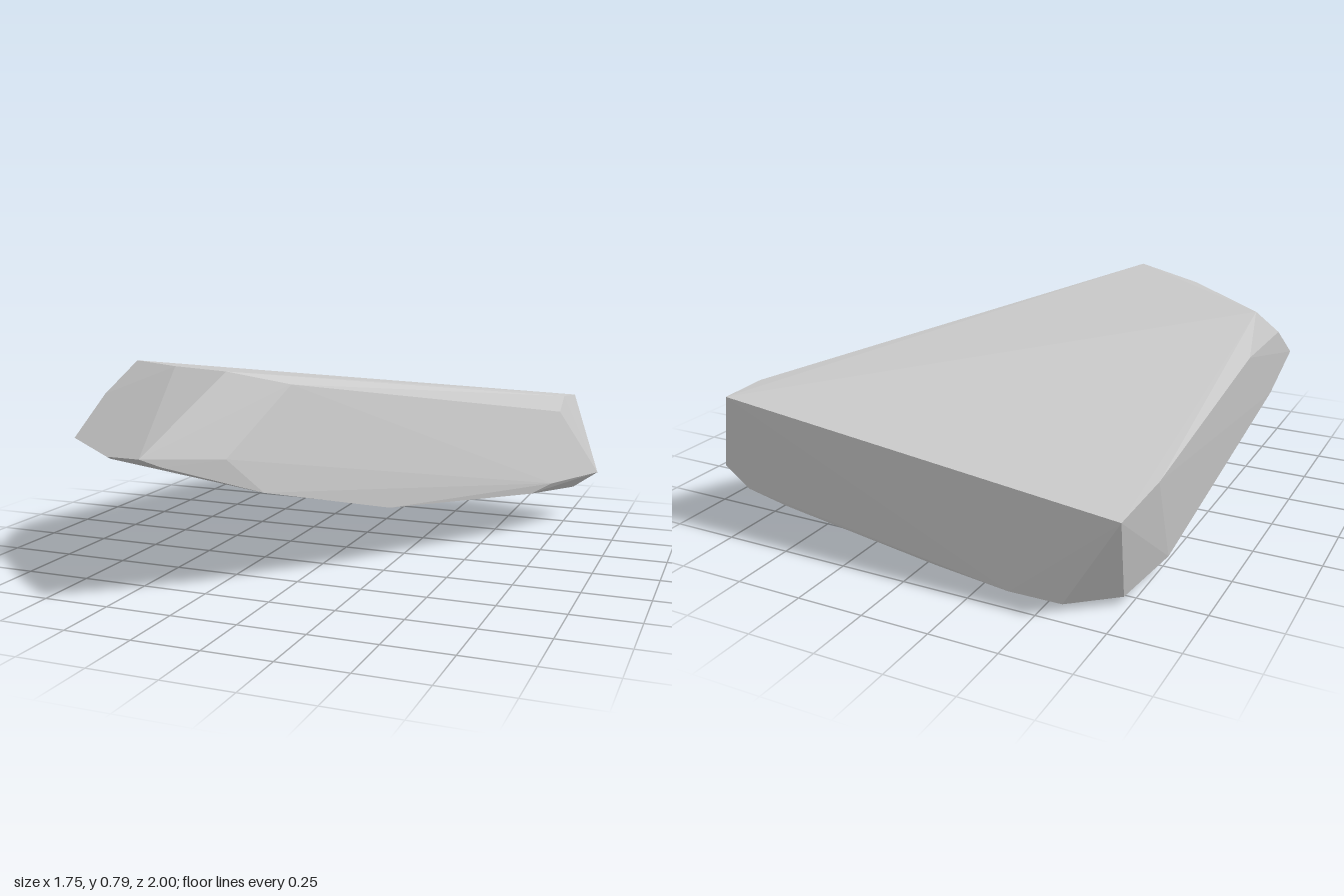
import * as THREE from 'three';
import { ConvexGeometry } from 'three/addons/geometries/ConvexGeometry.js';

export function createModel() {
  const group = new THREE.Group();
  group.name = 'rock';
  const stoneGrey = new THREE.MeshStandardMaterial({ color: 0xc9c9c9 });
  stoneGrey.name = 'pale stone grey';

  // Corners of the faceted boulder, by region
  const top = [
    [-0.2, 0.79, 0.65], [-0.5, 0.777, 0.48], [-0.83, 0.757, 0.21], [-0.03, 0.73, 0.47],
    [0.725, 0.555, -0.8], [0.742, 0.54, -0.97], [-0.79, 0.39, -1],
  ];
  const frontNose = [
    [-0.35, 0.53, 1], [-0.3, 0.495, 0.94], [-0.56, 0.5, 0.87], [-0.878, 0.5, 0.6],
    [-0.15, 0.5, 0.76], [-0.06, 0.365, 0.65],
  ];
  const longSide = [
    [0.25, 0.23, 0.18], [0.66, 0.18, -0.46], [0.73, 0.21, -0.56],
    [0.727, 0.5, -0.7], [0.875, 0.21, -0.86],
  ];
  const shortSide = [
    [-0.878, 0.64, 0.38], [-0.875, 0.64, 0], [-0.86, 0.38, 0.39], [-0.83, 0.45, -0.79],
  ];
  const underside = [
    [-0.79, 0.075, -0.56], [-0.73, 0.03, -0.81], [-0.55, 0.002, -0.9], [-0.35, 0, -0.9],
    [-0.05, 0.02, -0.88], [0.36, 0.065, -0.86], [0.6, 0.1, -0.86], [0.77, 0.135, -0.86],
  ];

  // Flat facets wrapped around the corners
  const corners = [top, frontNose, longSide, shortSide, underside].flat();
  const boulder = new THREE.Mesh(
    new ConvexGeometry(corners.map((c) => new THREE.Vector3(...c))),
    stoneGrey
  );
  boulder.name = 'boulder';
  group.add(boulder);
  return group;
}
